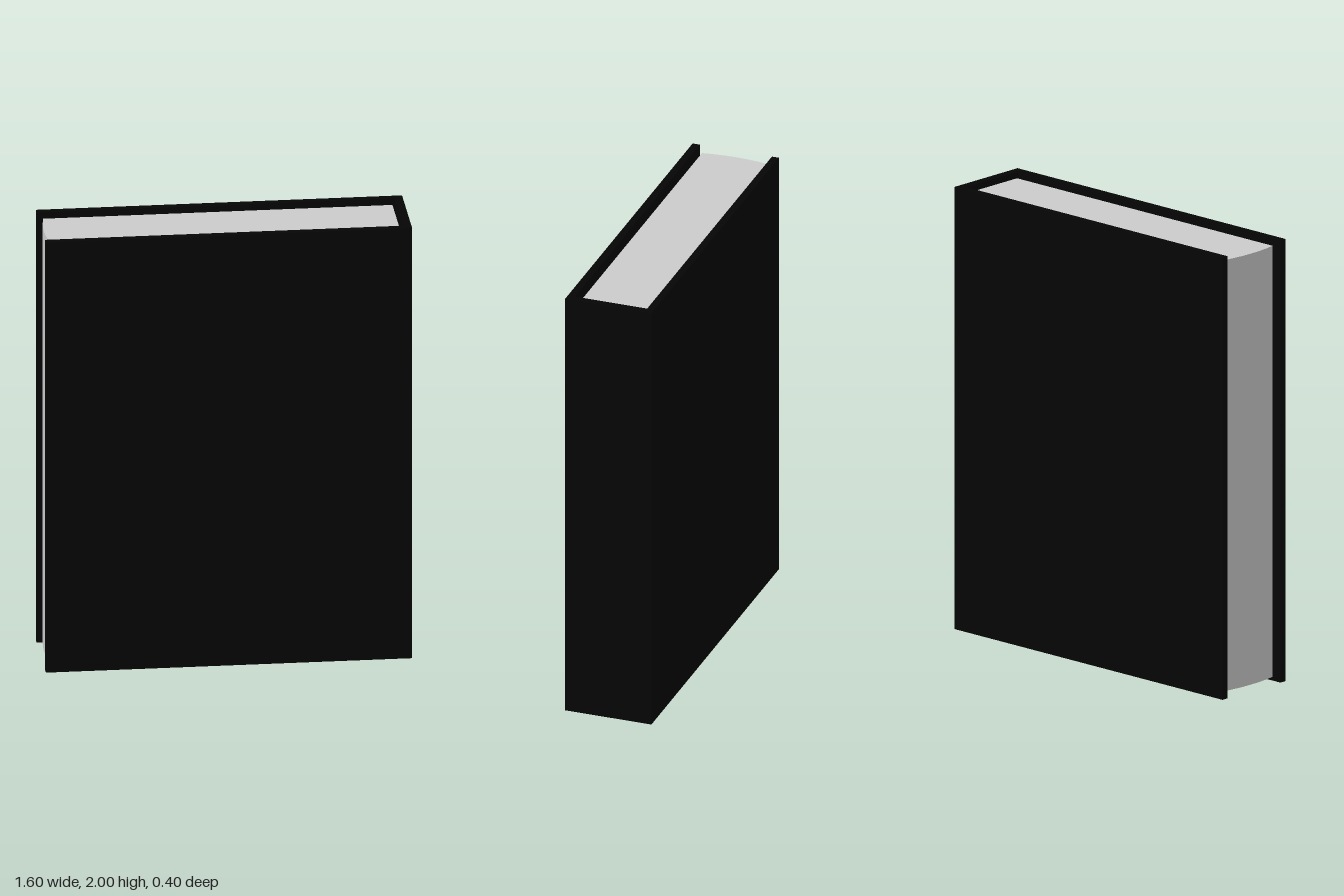
import * as THREE from 'three';

// Extrude a plan outline of [x, z] points upward from y0 to y1
function extrudePlan(name, points, y0, y1, color) {
  const shape = new THREE.Shape(points.map(([x, z]) => new THREE.Vector2(x, -z)));
  const geometry = new THREE.ExtrudeGeometry(shape, { depth: y1 - y0, bevelEnabled: false });
  geometry.rotateX(-Math.PI / 2).translate(0, y0, 0);
  const mesh = new THREE.Mesh(geometry, new THREE.MeshStandardMaterial({ color, flatShading: true }));
  mesh.name = name;
  return mesh;
}

export function createModel() {
  const book = new THREE.Group();
  book.name = 'book';

  // Hard cover: front board, spine and back board in one U-shaped outline
  const outer = 0.2, inner = 0.167, spineInner = 0.763;
  book.add(extrudePlan('cover', [
    [-0.8, outer], [0.8, outer], [0.8, -outer], [-0.8, -outer],
    [-0.8, -inner], [spineInner, -inner], [spineInner, inner], [-0.8, inner],
  ], 0, 2, 0x050505));

  // Page block, inset from the cover, with a gently bulging fore edge
  const zBack = -0.154, zFront = 0.147, bulge = 0.014, steps = 6;
  const outline = [[0.753, zFront], [0.753, zBack]];
  for (let i = 0; i <= steps; i++) {
    const t = i / steps;
    outline.push([-0.773 - bulge * 4 * t * (1 - t), zBack + (zFront - zBack) * t]);
  }
  book.add(extrudePlan('pages', outline, 0.025, 1.975, 0xcccccc));

  return book;
}
